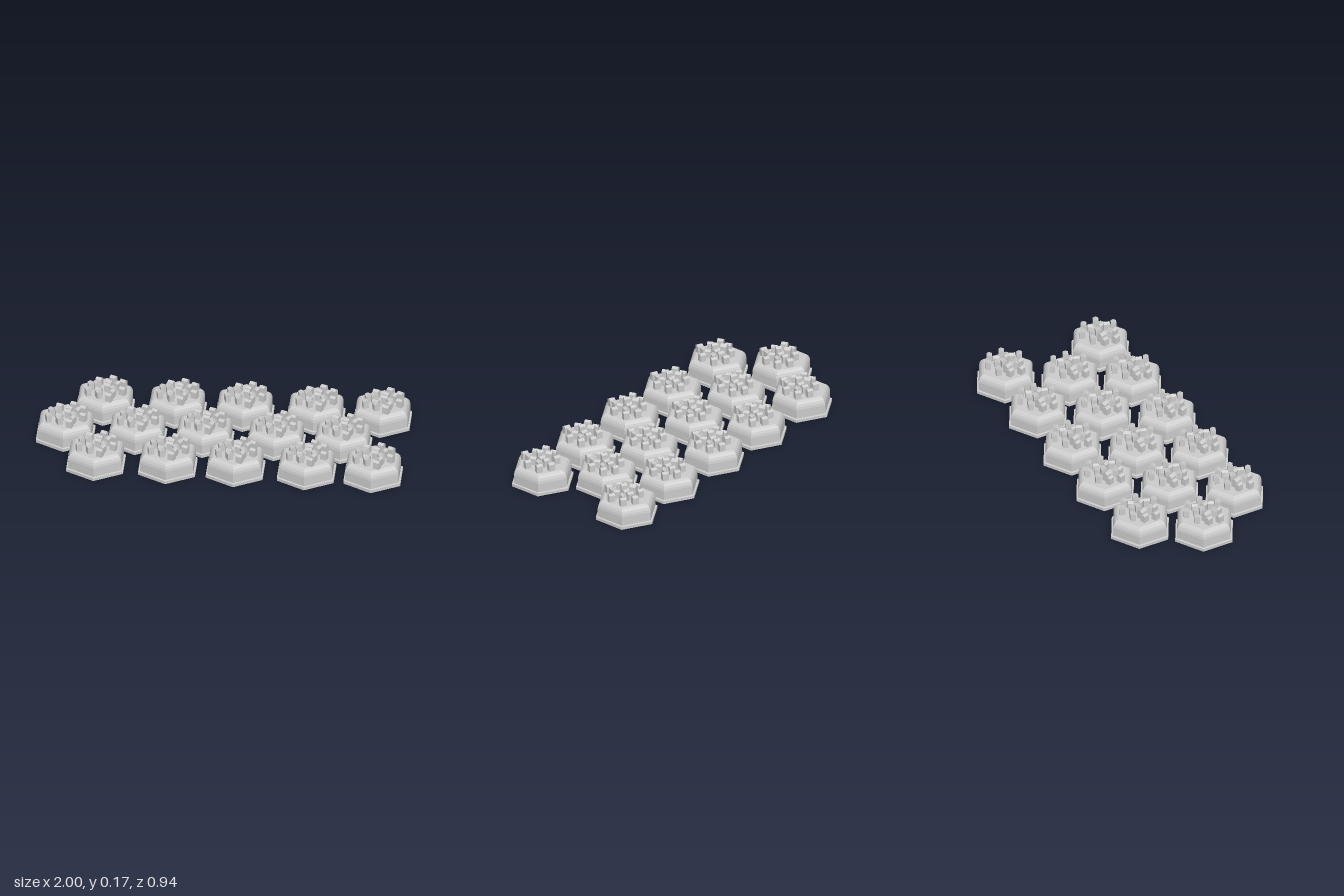
import * as THREE from 'three';

const material = new THREE.MeshStandardMaterial({ color: 0xcccccc, flatShading: true });

// Hexagonal plinth with a rounded shoulder, corners pointing along z
function tileGeometry() {
  const profile = [
    [0, 0], [0.178, 0], [0.178, 0.017], [0.167, 0.019], [0.167, 0.07],
    [0.164, 0.084], [0.157, 0.098], [0.147, 0.108], [0.134, 0.114], [0, 0.114],
  ].map(([r, y]) => new THREE.Vector2(r, y));
  return new THREE.LatheGeometry(profile, 6);
}

// Small house: a gabled outline pushed along its ridge
function houseGeometry(width, depth, eaves, ridge) {
  const w = width / 2;
  const outline = new THREE.Shape();
  outline.moveTo(-w, 0);
  outline.lineTo(w, 0);
  outline.lineTo(w, eaves);
  outline.lineTo(0, ridge);
  outline.lineTo(-w, eaves);
  outline.closePath();
  const geometry = new THREE.ExtrudeGeometry(outline, { depth, bevelEnabled: false });
  geometry.translate(0, 0, -depth / 2);
  return geometry;
}

// House x, z and turn in degrees, relative to the tile centre
const houses = [
  [0.038, -0.088, 65], [-0.037, -0.064, 70], [0.094, -0.05, 60], [0.02, -0.039, 65],
  [0.06, -0.026, -25], [-0.078, -0.014, 20], [0.014, -0.004, 75], [0.046, 0.027, 25],
  [0.098, 0.027, 65], [-0.088, 0.048, 20], [-0.03, 0.045, 60], [0.04, 0.062, -20],
  [-0.028, 0.07, 25], [0.03, 0.1, 65],
];

// Tile rows: z and the x of each tile
const outerRow = [-0.657, -0.267, 0.1, 0.485, 0.846];
const middleRow = [-0.846, -0.457, -0.093, 0.294, 0.655];
const rows = [[-0.291, outerRow], [0, middleRow], [0.291, outerRow]];

export function createModel() {
  const model = new THREE.Group();
  model.name = 'hexagonVillageTiles';
  const tile = tileGeometry();
  const house = houseGeometry(0.03, 0.034, 0.039, 0.047);
  const hall = houseGeometry(0.036, 0.036, 0.045, 0.057);

  const add = (parent, name, geometry, x, y, z, turn = 0) => {
    const mesh = new THREE.Mesh(geometry, material);
    mesh.name = name;
    mesh.position.set(x, y, z);
    mesh.rotation.y = THREE.MathUtils.degToRad(turn);
    parent.add(mesh);
  };

  for (const [z, xs] of rows) {
    for (const x of xs) {
      const village = new THREE.Group();
      village.name = 'villageTile';
      village.position.set(x, 0, z);
      add(village, 'hexagonBase', tile, 0, 0, 0);
      for (const [hx, hz, turn] of houses) add(village, 'house', house, hx, 0.113, hz, turn);
      add(village, 'tallHouse', hall, -0.043, 0.113, -0.012, 20);
      model.add(village);
    }
  }
  return model;
}
